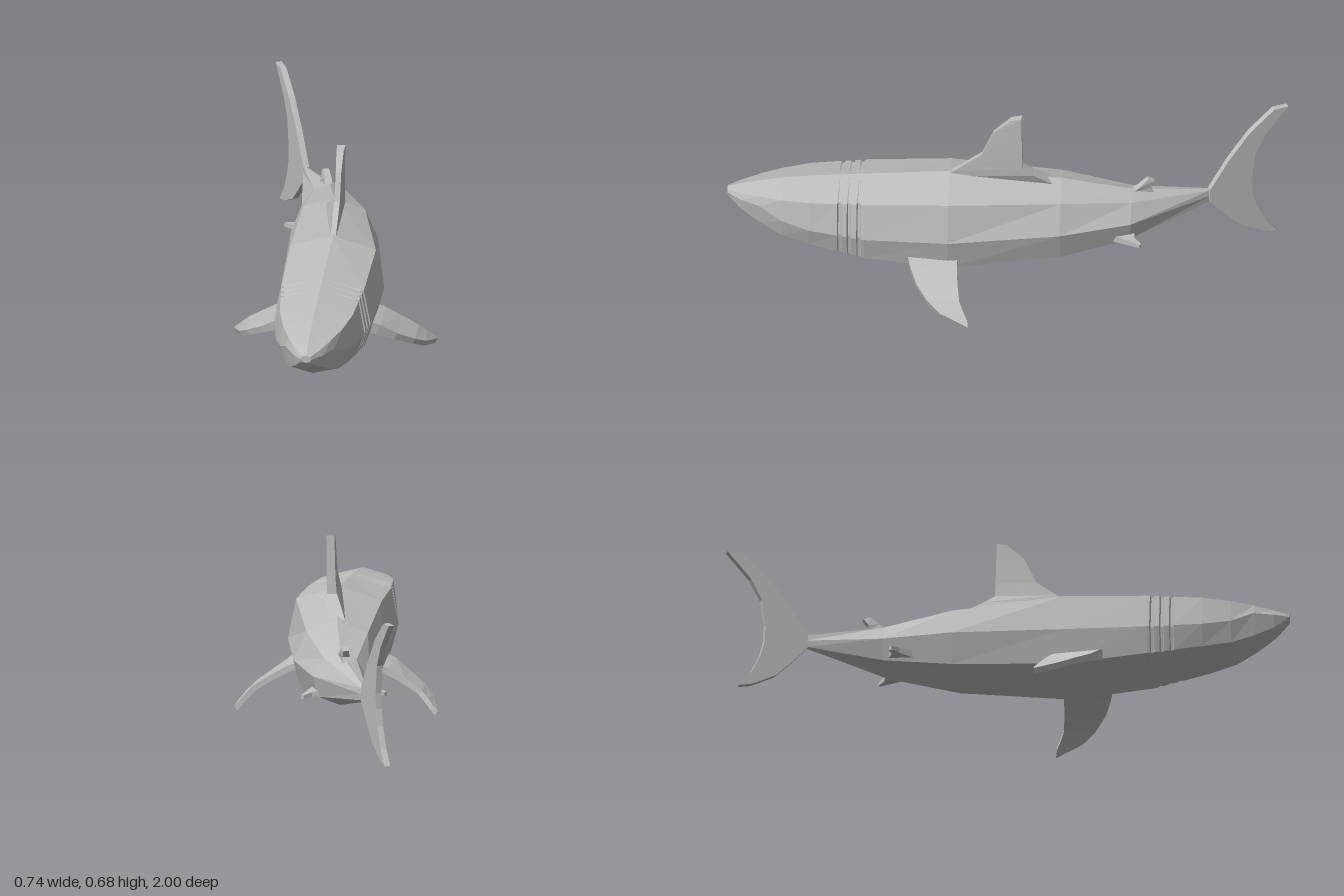
import * as THREE from 'three';

const skin = new THREE.MeshStandardMaterial({ color: 0xbdbdbd, flatShading: true });
skin.name = 'grey skin';

// Closed solid through a list of rings with equal point counts; faces always point outwards.
function loft(name, rings) {
  const tris = [];
  const n = rings[0].length;
  for (let r = 0; r < rings.length - 1; r++) {
    const a = rings[r], b = rings[r + 1];
    for (let i = 0; i < n; i++) {
      const j = (i + 1) % n;
      tris.push([a[i], b[i], b[j]], [a[i], b[j], a[j]]);
    }
  }
  const first = rings[0], last = rings[rings.length - 1];
  for (let i = 1; i < n - 1; i++) {
    tris.push([first[0], first[i], first[i + 1]], [last[0], last[i + 1], last[i]]);
  }
  let volume = 0;
  for (const [a, b, c] of tris) volume += a.dot(b.clone().cross(c));
  const points = tris.flatMap(([a, b, c]) => (volume < 0 ? [a, c, b] : [a, b, c]));
  const geometry = new THREE.BufferGeometry().setFromPoints(points);
  geometry.computeVertexNormals();
  const mesh = new THREE.Mesh(geometry, skin);
  mesh.name = name;
  return mesh;
}

// Fin through [leading point, trailing point, leading half width, trailing half width].
function fin(name, direction, sections) {
  const d = new THREE.Vector3(...direction).normalize();
  return loft(name, sections.map(([lead, trail, wl, wt]) => {
    const l = new THREE.Vector3(...lead), t = new THREE.Vector3(...trail);
    return [
      l.clone().addScaledVector(d, wl), t.clone().addScaledVector(d, wt),
      t.clone().addScaledVector(d, -wt), l.clone().addScaledVector(d, -wl),
    ];
  }));
}

// Body sections: z, centre x, top y, shoulder x y, side x y, belly edge x y, bottom y
const head = [
  [1.0, 0, 0.355, 0.016, 0.35, 0.02, 0.34, 0.014, 0.33, 0.326],
  [0.95, 0, 0.37, 0.045, 0.356, 0.055, 0.335, 0.045, 0.29, 0.285],
  [0.88, 0, 0.385, 0.078, 0.365, 0.088, 0.33, 0.07, 0.25, 0.24],
  [0.8, 0, 0.4, 0.108, 0.372, 0.118, 0.29, 0.095, 0.215, 0.19],
  [0.7, 0, 0.412, 0.132, 0.38, 0.146, 0.27, 0.118, 0.195, 0.165],
];
const trunk = [
  [0.5, 0, 0.428, 0.15, 0.39, 0.176, 0.257, 0.15, 0.163, 0.1],
  [0.2, 0, 0.45, 0.155, 0.402, 0.185, 0.257, 0.155, 0.135, 0.075],
  [-0.2, -0.045, 0.405, 0.112, 0.365, 0.158, 0.257, 0.125, 0.147, 0.1],
  [-0.45, -0.09, 0.338, 0.058, 0.315, 0.103, 0.25, 0.08, 0.175, 0.147],
  [-0.72, -0.21, 0.27, 0.009, 0.265, 0.012, 0.243, 0.009, 0.22, 0.215],
];

// Three gill grooves cut between the head and the trunk
const gills = [];
for (const z of [0.59, 0.555, 0.52]) {
  for (const [offset, dip] of [[0.008, 0], [0.004, 0.012], [-0.004, 0.012], [-0.008, 0]]) {
    const k = (0.7 - z - offset) / 0.2;
    const s = head[4].map((v, i) => v + (trunk[0][i] - v) * k);
    s[3] -= dip;
    s[5] -= dip;
    s[7] -= dip / 2;
    gills.push(s);
  }
}

function bodyRing([z, cx, top, sx, sy, mx, my, lx, ly, bottom]) {
  return [
    [0, top], [-sx, sy], [-mx, my], [-lx, ly], [0, bottom], [lx, ly], [mx, my], [sx, sy],
  ].map(([x, y]) => new THREE.Vector3(cx + x, y, z));
}

export function createModel() {
  const model = new THREE.Group();
  model.name = 'shark';

  model.add(loft('body', [...head, ...gills, ...trunk].map(bodyRing)));

  // Upright fins on the back
  model.add(fin('dorsalFin', [1, 0, 0], [
    [[0, 0.43, 0.21], [-0.045, 0.39, -0.18], 0.008, 0.03],
    [[0, 0.455, 0.19], [-0.018, 0.445, -0.1], 0.01, 0.026],
    [[0, 0.475, 0.16], [-0.008, 0.475, -0.062], 0.01, 0.018],
    [[0, 0.53, 0.085], [-0.005, 0.53, -0.06], 0.01, 0.016],
    [[0, 0.625, 0.042], [-0.003, 0.63, -0.058], 0.01, 0.015],
    [[-0.002, 0.68, -0.02], [-0.002, 0.687, -0.058], 0.013, 0.015],
  ]));
  model.add(fin('rearDorsalFin', [0.95, 0, -0.3], [
    [[-0.092, 0.32, -0.44], [-0.125, 0.3, -0.53], 0.014, 0.014],
    [[-0.1, 0.345, -0.475], [-0.118, 0.335, -0.51], 0.013, 0.013],
    [[-0.112, 0.372, -0.505], [-0.12, 0.36, -0.528], 0.01, 0.01],
  ]));

  // Crescent tail, swung to the model's right
  const tail = [
    [-0.91, 0.04, -0.955, 0.028], [-0.83, 0.088, -0.915, 0.085],
    [-0.77, 0.155, -0.882, 0.16], [-0.72, 0.217, -0.868, 0.22],
    [-0.72, 0.268, -0.866, 0.28], [-0.785, 0.375, -0.878, 0.38],
    [-0.86, 0.475, -0.915, 0.455], [-0.945, 0.55, -0.995, 0.55],
  ];
  const tailPoint = (z, y) => [-0.21 + (z + 0.72) * 0.49, y, z];
  model.add(fin('tailFin', [0.9, 0, -0.43], tail.map(
    ([lz, ly, tz, ty]) => [tailPoint(lz, ly), tailPoint(tz, ty), 0.011, 0.011])));

  // Pectoral fins sweep out, down and back
  for (const [side, name] of [[1, 'left'], [-1, 'right']]) {
    model.add(fin(name + 'PectoralFin', [side * 0.45, 0.9, 0], [
      [[side * 0.14, 0.165, 0.345], [side * 0.14, 0.165, 0.165], 0.022, 0.012],
      [[side * 0.18, 0.15, 0.335], [side * 0.18, 0.15, 0.165], 0.02, 0.012],
      [[side * 0.24, 0.115, 0.31], [side * 0.24, 0.118, 0.16], 0.013, 0.01],
      [[side * 0.3, 0.078, 0.265], [side * 0.3, 0.08, 0.15], 0.011, 0.01],
      [[side * 0.335, 0.047, 0.215], [side * 0.325, 0.055, 0.135], 0.011, 0.01],
      [[side * 0.364, 0.012, 0.115], [side * 0.345, 0.032, 0.12], 0.011, 0.01],
    ]));
  }

  // Small pelvic fins beside the tail stem
  model.add(fin('leftPelvicFin', [0, 1, 0], [
    [[0.01, 0.192, -0.37], [-0.02, 0.192, -0.46], 0.014, 0.01],
    [[0.03, 0.186, -0.43], [0.012, 0.186, -0.465], 0.01, 0.008],
    [[0.048, 0.18, -0.485], [0.04, 0.18, -0.49], 0.007, 0.006],
  ]));
  model.add(fin('rightPelvicFin', [0, 1, 0], [
    [[-0.175, 0.192, -0.34], [-0.17, 0.192, -0.43], 0.014, 0.01],
    [[-0.215, 0.19, -0.385], [-0.205, 0.19, -0.415], 0.01, 0.008],
    [[-0.252, 0.185, -0.41], [-0.245, 0.185, -0.42], 0.007, 0.006],
  ]));

  return model;
}
